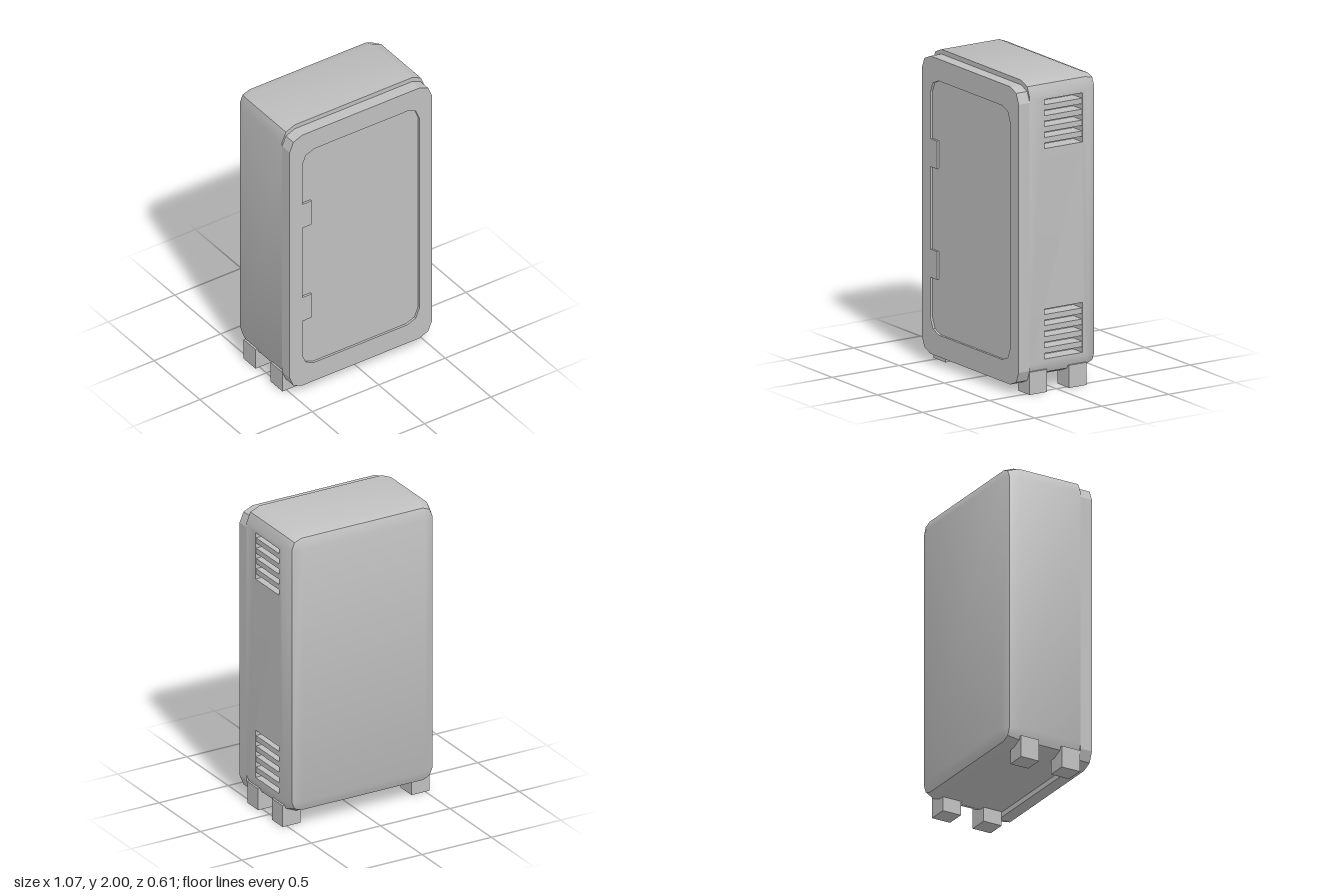
import * as THREE from 'three';
import { mergeGeometries, toCreasedNormals } from 'three/addons/utils/BufferGeometryUtils.js';

const HX = 0.535, R = 0.095;          // half width and edge radius
const BACK = -0.305, SEAM = 0.223, FRONT = 0.305;
const Y0 = 0.095, Y1 = 2.0;           // body bottom and top
const VENTS = [[0.215, 0.535], [1.565, 1.88]];
const VZ0 = -0.17, VZ1 = 0.113, VENT_DEPTH = 0.1;

// Rectangle with two-facet corners; r may shrink below the corner inset R
function roundedLoop(hx, y0, y1, inset, r) {
  const pts = [];
  for (let c = 0; c < 4; c++) {
    const cx = (c === 0 || c === 3 ? 1 : -1) * (hx - inset);
    const cy = c < 2 ? y1 - inset : y0 + inset;
    for (let k = 0; k < 3; k++) {
      const a = (c * 2 + k) * Math.PI / 4;
      pts.push(new THREE.Vector2(cx + r * Math.cos(a), cy + r * Math.sin(a)));
    }
  }
  return pts;
}

function rectPath(Type, x0, y0, x1, y1) {
  return new Type([[x0, y0], [x1, y0], [x1, y1], [x0, y1]].map(p => new THREE.Vector2(...p)));
}

function plain(geometry) {
  const g = geometry.index ? geometry.toNonIndexed() : geometry;
  g.deleteAttribute('uv');
  g.deleteAttribute('normal');
  return g;
}

// Cabinet shell: lofted rings, front cap, back, vented side and vent recesses
function bodyGeometry() {
  const m = R * Math.SQRT1_2;
  const rings = [[SEAM, R], [BACK + R, R], [BACK + R - m, m], [BACK, 0]]
    .map(([z, r]) => roundedLoop(HX, Y0, Y1, R, r).map(p => new THREE.Vector3(p.x, p.y, z)));
  const pos = [];
  const tri = (...v) => v.forEach(p => pos.push(p.x, p.y, p.z));
  for (let i = 0; i < 3; i++) {
    for (let j = 0; j < 12; j++) {
      if (i === 0 && j === 11) continue;      // vented side is added below
      const k = (j + 1) % 12;
      const a = rings[i][j], b = rings[i][k], c = rings[i + 1][k], d = rings[i + 1][j];
      tri(a, c, b);
      if (i < 2 || j % 3 === 2) tri(a, d, c);
    }
  }
  const loft = new THREE.BufferGeometry();
  loft.setAttribute('position', new THREE.Float32BufferAttribute(pos, 3));

  const cap = new THREE.ShapeGeometry(new THREE.Shape(roundedLoop(HX, Y0, Y1, R, R))).translate(0, 0, SEAM);
  const back = new THREE.PlaneGeometry(2 * (HX - R), Y1 - Y0 - 2 * R)
    .rotateY(Math.PI).translate(0, (Y0 + Y1) / 2, BACK);

  const side = rectPath(THREE.Shape, -SEAM, Y0 + R, -BACK - R, Y1 - R);
  side.holes = VENTS.map(([a, b]) => rectPath(THREE.Path, -VZ1, a, -VZ0, b));
  const parts = [loft, cap, back, new THREE.ShapeGeometry(side).rotateY(Math.PI / 2).translate(HX, 0, 0)];

  // Inside-out boxes without their outer face
  for (const [a, b] of VENTS) {
    const box = new THREE.BoxGeometry(VENT_DEPTH, b - a, VZ1 - VZ0);
    box.setIndex(Array.from(box.index.array).filter((_, i) => i < 6 || i >= 12));
    box.scale(-1, 1, 1).translate(HX - VENT_DEPTH / 2, (a + b) / 2, (VZ0 + VZ1) / 2);
    parts.push(box);
  }
  return toCreasedNormals(mergeGeometries(parts.map(plain)), 0.6);
}

export function createModel() {
  const model = new THREE.Group();
  model.name = 'cabinet';
  const grey = new THREE.MeshStandardMaterial({ color: 0xbfbfbf });
  grey.name = 'light grey';

  const add = (name, geometry, parent = model) => {
    const mesh = new THREE.Mesh(geometry, grey);
    mesh.name = name;
    parent.add(mesh);
    return mesh;
  };
  const box = (name, x0, x1, y0, y1, z0, z1, parent) =>
    add(name, new THREE.BoxGeometry(x1 - x0, y1 - y0, z1 - z0), parent)
      .position.set((x0 + x1) / 2, (y0 + y1) / 2, (z0 + z1) / 2);
  const slab = (name, shape, z0, z1) =>
    add(name, new THREE.ExtrudeGeometry(shape, { depth: z1 - z0, bevelEnabled: false }).translate(0, 0, z0));

  add('body', bodyGeometry());

  // Front frame with a slightly sunken door
  const doorLoop = roundedLoop(0.44, 0.2, 1.83, 0.09, 0.09);
  const frame = new THREE.Shape(roundedLoop(HX, 0.06, 1.97, R, R));
  frame.holes.push(new THREE.Path(doorLoop));
  slab('frontFrame', frame, SEAM, FRONT);
  slab('door', new THREE.Shape(doorLoop), SEAM, FRONT - 0.015);

  // Hinges bridge the frame and the door
  for (const y of [0.55, 1.26]) box('hinge', -0.44, -0.37, y, y + 0.18, FRONT - 0.03, FRONT);

  // Horizontal vent slats
  for (const [a, b] of VENTS) {
    const vent = new THREE.Group();
    vent.name = 'ventSlats';
    model.add(vent);
    const h = (b - a) / 9;
    for (let i = 1; i < 9; i += 2) {
      box('slat', HX - VENT_DEPTH, HX - 0.003, a + i * h, a + (i + 1) * h, VZ0, VZ1, vent);
    }
  }

  // Four square feet
  for (const s of [-1, 1]) {
    for (const z of [0.155, -0.14]) {
      const x = s * 0.465;
      box('foot', x - 0.065, x + 0.065, 0, 0.145, z - 0.065, z + 0.065);
    }
  }
  return model;
}
